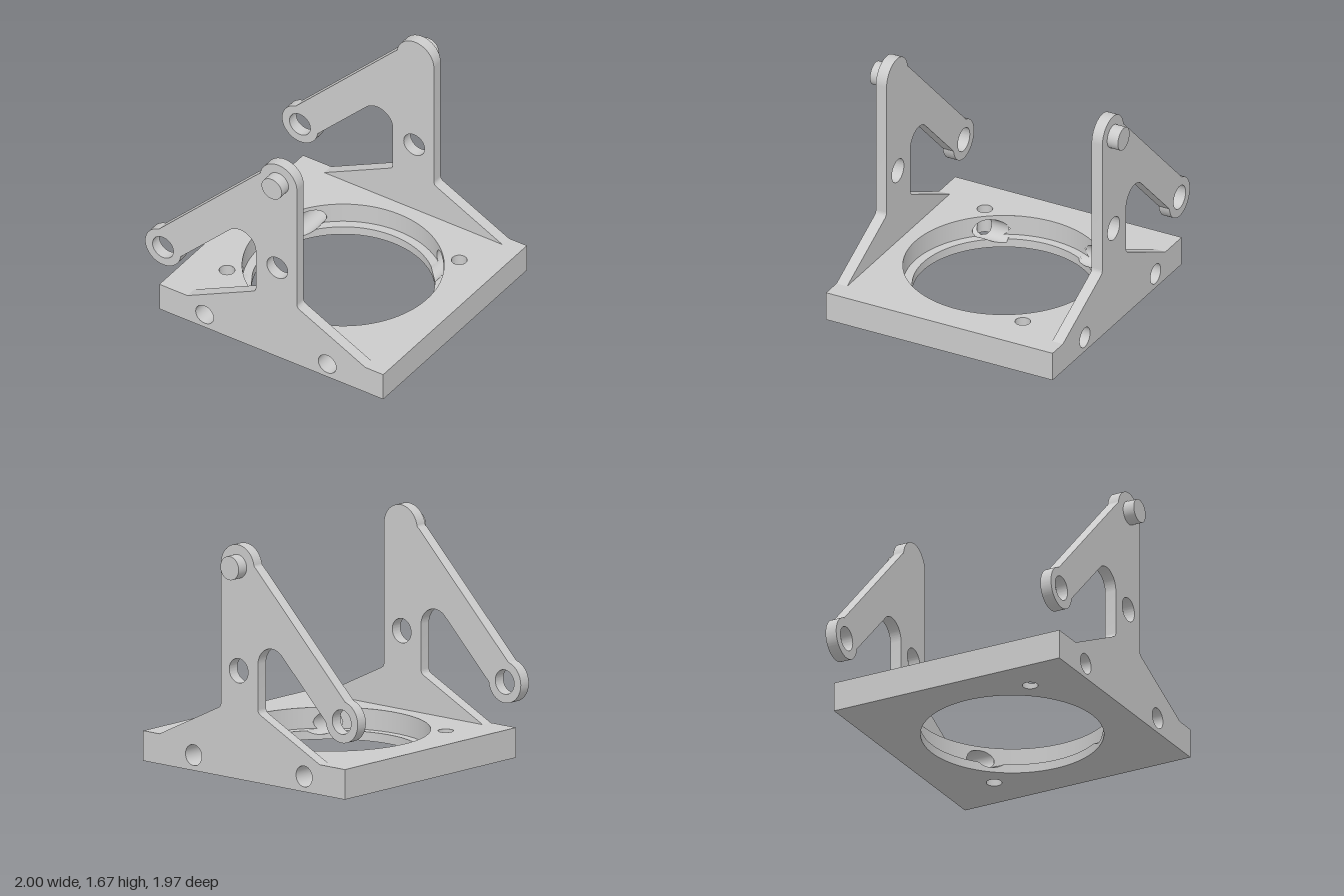
import * as THREE from 'three';
import { toCreasedNormals } from 'three/addons/utils/BufferGeometryUtils.js';
import { ParametricGeometry } from 'three/addons/geometries/ParametricGeometry.js';

const TAU = Math.PI * 2;
const X0 = -0.88, X1 = 1, HALF = 0.9, TOP = 0.215;           // base block
const BORE_X = 0.06, R_LOW = 0.64, R_UP = 0.705, LEDGE = 0.065; // stepped bore
const CROSS_Y = 0.11, CROSS_R = 0.075, CROSS_X = [-0.5, 0.53]; // holes along z
const DRILLS = [[-0.58, 0.5], [0.7, -0.5]], DRILL_R = 0.055;   // vertical holes
const PLATE = 0.085;

const chord = (r, d) => Math.sqrt(Math.max(0, r * r - d * d));
// half height of a cross hole above position x
const crossHalf = (x) => Math.max(...CROSS_X.map((c) => chord(CROSS_R, x - c)));
// half depth of a vertical hole at position x, on the front or back side
const drillHalf = (x, side) =>
  Math.max(...DRILLS.map(([c, z]) => (Math.sign(z) === side ? chord(DRILL_R, x - c) : 0)));
// height of the ledge, grooved where the cross holes pass
const ledgeY = (x, z) =>
  Math.abs(z) > 0.29 ? Math.min(LEDGE, CROSS_Y - crossHalf(x)) : LEDGE;

const circle = (x, y, r) => new THREE.Path().absarc(x, y, r, 0, TAU, true);

function createModel() {
  const group = new THREE.Group();
  const solid = new THREE.MeshStandardMaterial({ color: 0xcccccc });
  const open = new THREE.MeshStandardMaterial({ color: 0xcccccc, side: THREE.DoubleSide });

  const add = (parent, name, geometry, material = open) => {
    const mesh = new THREE.Mesh(geometry, material);
    mesh.name = name;
    parent.add(mesh);
    return mesh;
  };
  const surface = (parent, name, fn, nu, nv) =>
    add(parent, name, new ParametricGeometry(fn, nu, nv));

  // Base block, made of its outer faces, bore and holes
  const base = new THREE.Group();
  base.name = 'base';
  group.add(base);

  const rect = (a, b, c, d) => new THREE.Shape([
    new THREE.Vector2(a, b), new THREE.Vector2(c, b),
    new THREE.Vector2(c, d), new THREE.Vector2(a, d)]);

  // Top and bottom faces
  for (const [name, radius, dir, y] of [['baseTop', R_UP, -1, TOP], ['baseBottom', R_LOW, 1, 0]]) {
    const shape = rect(X0, -HALF, X1, HALF);
    shape.holes.push(circle(BORE_X, 0, radius));
    for (const [x, z] of DRILLS) shape.holes.push(circle(x, dir * z, DRILL_R));
    add(base, name, new THREE.ShapeGeometry(shape, 96).rotateX(dir * Math.PI / 2).translate(0, y, 0));
  }

  // Front and back faces with cross holes
  for (const side of [1, -1]) {
    const shape = rect(side > 0 ? X0 : -X1, 0, side > 0 ? X1 : -X0, TOP);
    for (const x of CROSS_X) shape.holes.push(circle(side * x, CROSS_Y, CROSS_R));
    const face = new THREE.ShapeGeometry(shape, 48);
    if (side < 0) face.rotateY(Math.PI);
    add(base, side > 0 ? 'baseFront' : 'baseBack', face.translate(0, 0, side * HALF));
  }

  // End faces
  for (const [x, dir] of [[X0, -1], [X1, 1]]) {
    add(base, 'baseEnd',
      new THREE.PlaneGeometry(HALF * 2, TOP).rotateY(dir * Math.PI / 2).translate(x, TOP / 2, 0));
  }

  // Vertical wall of a round hole between two height rules
  const wall = (name, cx, cz, r, lo, hi, n) => surface(base, name, (u, v, p) => {
    const x = cx + r * Math.cos(u * TAU), z = cz + r * Math.sin(u * TAU);
    const a = lo(x, z), b = hi(x, z);
    p.set(x, a + (b - a) * v, z);
  }, n, 1);
  const below = (x) => CROSS_Y - crossHalf(x);
  const above = (x) => CROSS_Y + crossHalf(x);

  // Stepped bore
  wall('boreWall', BORE_X, 0, R_LOW, () => 0, ledgeY, 360);
  wall('counterboreLower', BORE_X, 0, R_UP, () => LEDGE, (x) => Math.max(LEDGE, below(x)), 360);
  wall('counterboreUpper', BORE_X, 0, R_UP, above, () => TOP, 360);
  surface(base, 'boreLedge', (u, v, p) => {
    const r = R_LOW + (R_UP - R_LOW) * v;
    const x = BORE_X + r * Math.cos(u * TAU), z = r * Math.sin(u * TAU);
    p.set(x, ledgeY(x, z), z);
  }, 360, 10);

  // Vertical screw holes
  for (const [x, z] of DRILLS) {
    wall('screwHoleLower', x, z, DRILL_R, () => 0, below, 64);
    wall('screwHoleUpper', x, z, DRILL_R, above, () => TOP, 64);
  }

  // Cross holes, split where a screw hole passes through
  for (const side of [1, -1]) {
    for (const cx of CROSS_X) {
      for (const outer of [true, false]) {
        surface(base, 'crossHole', (u, v, p) => {
          const t = side * u * TAU;
          const x = cx + CROSS_R * Math.cos(t), w = drillHalf(x, side);
          const mid = 0.5;
          const a = outer ? HALF : mid - w;
          const end = chord(R_UP, x - BORE_X);
          const b = outer ? Math.max(mid + w, end) : Math.min(mid - w, end);
          p.set(x, CROSS_Y + CROSS_R * Math.sin(t), side * (a + (b - a) * v));
        }, 72, 1);
      }
    }
  }

  // Side plate profile: foot, upright, rounded head, slanted arm and hub
  const s = new THREE.Shape();
  s.moveTo(-0.645, TOP);
  s.lineTo(0.85, TOP);
  s.lineTo(0.3, 0.485);
  s.quadraticCurveTo(0.275, 0.497, 0.275, 0.525);
  s.absarc(0.12, 1.52, 0.155, 0, Math.PI - 0.16, false);
  s.quadraticCurveTo(-0.037, 1.535, -0.05, 1.528);
  s.absarc(-0.85, 0.55, 0.15, 1.8, TAU - 0.13, false);
  s.absarc(-0.2, 0.845, 0.13, Math.PI * 0.75, 0, true);
  s.lineTo(-0.07, 0.525);
  s.quadraticCurveTo(-0.07, 0.497, -0.095, 0.485);
  s.closePath();
  s.holes.push(circle(0.11, 0.775, 0.0875), circle(-0.85, 0.55, 0.0875));
  const plateGeo = toCreasedNormals(
    new THREE.ExtrudeGeometry(s, { depth: PLATE, bevelEnabled: false, curveSegments: 40 }), 0.4);

  // Both side plates with their pegs
  for (const [label, side] of [['front', 1], ['back', -1]]) {
    add(group, label + 'Plate', plateGeo, solid).position.z = side > 0 ? HALF - PLATE : -HALF;
    const peg = new THREE.CylinderGeometry(0.085, 0.085, 0.085, 48).rotateX(Math.PI / 2);
    add(group, label + 'Peg', peg, solid).position.set(0.12, 1.52, side * (HALF + 0.0425));
  }
  return group;
}

export { createModel };
